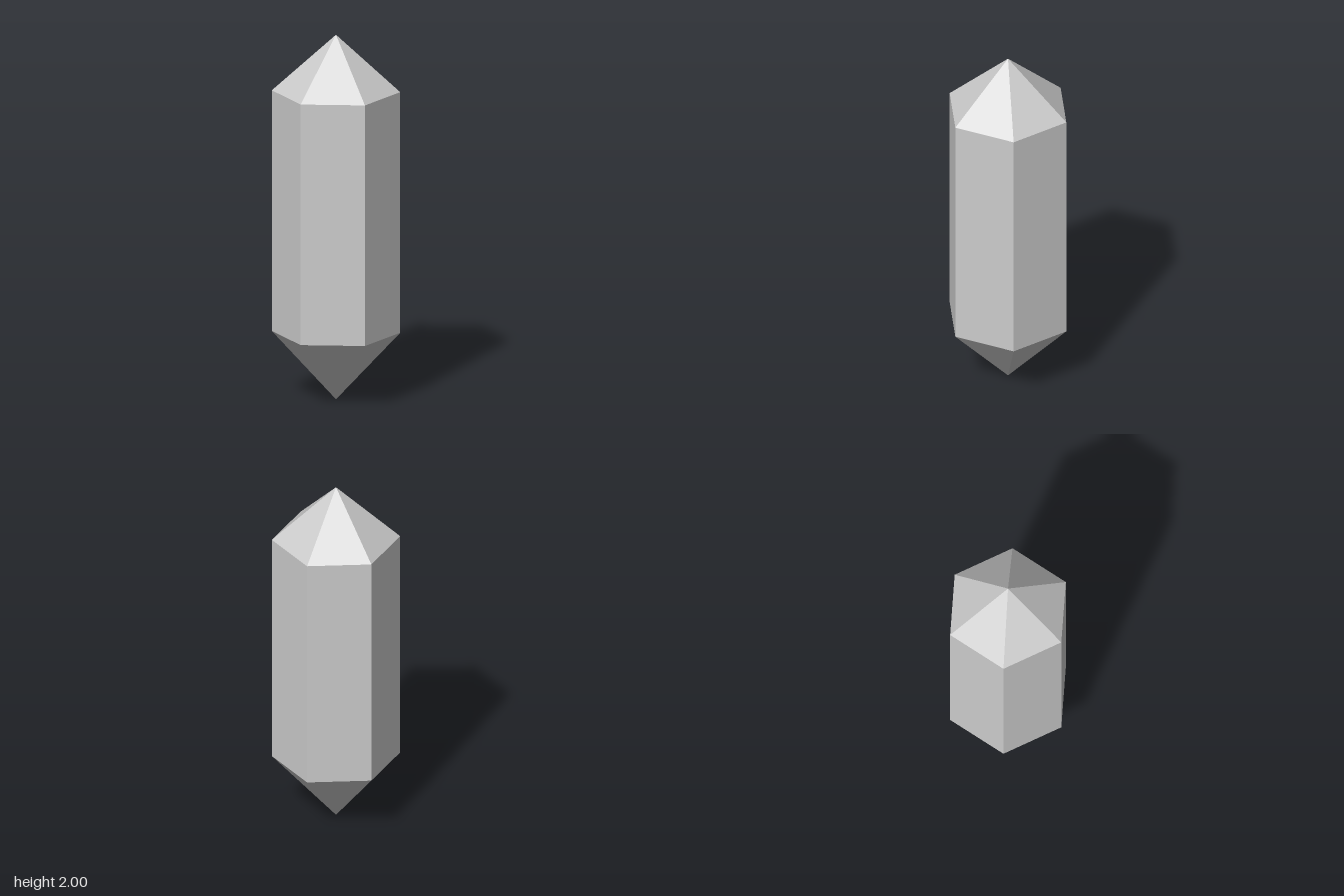
import * as THREE from 'three';

const SIDES = 6;
const RADIUS = 0.342;

export function createModel() {
  const crystal = new THREE.Group();
  crystal.name = 'crystal';
  const material = new THREE.MeshStandardMaterial({ color: 0xcccccc, flatShading: true });

  // Open six-sided section between two heights
  const addSection = (name, bottom, top, bottomRadius, topRadius) => {
    const geometry = new THREE.CylinderGeometry(topRadius, bottomRadius, top - bottom, SIDES, 1, true);
    const mesh = new THREE.Mesh(geometry, material);
    mesh.name = name;
    mesh.position.y = (bottom + top) / 2;
    crystal.add(mesh);
  };

  addSection('lowerPoint', 0, 0.37, 0, RADIUS);
  addSection('shaft', 0.37, 1.69, RADIUS, RADIUS);
  addSection('upperPoint', 1.69, 2, RADIUS, 0);

  return crystal;
}
